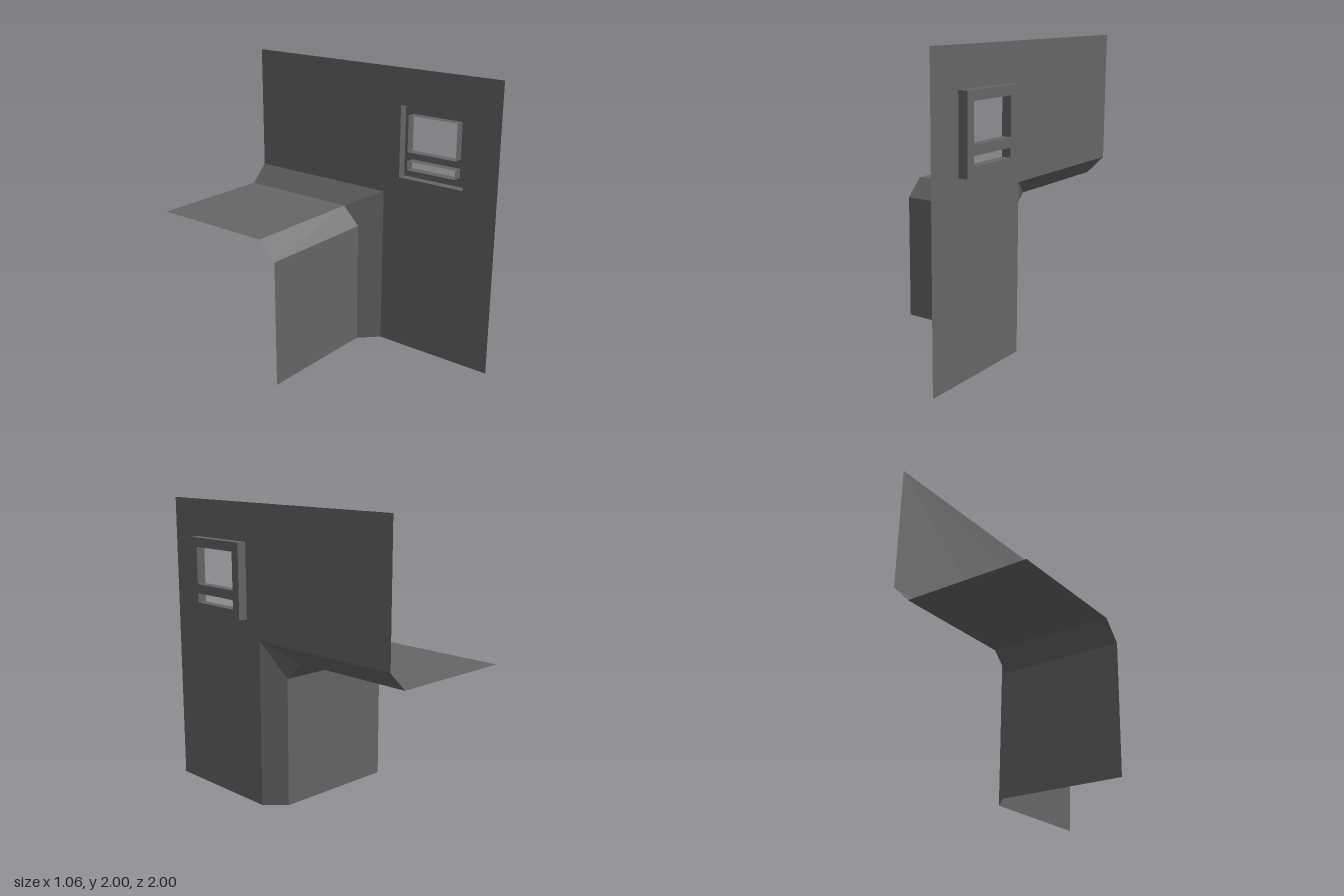
import * as THREE from 'three';

export function createModel() {
  const model = new THREE.Group();
  const grey = new THREE.MeshStandardMaterial({ color: 0x666666, side: THREE.DoubleSide });
  grey.name = 'grey';

  const LEFT = -0.53125, JOINT = 0.34375, WALL = 0.46875, OUT = 0.53125; // x planes
  const C = 0.125; // bevel size

  function add(name, geometry, parent = model) {
    const mesh = new THREE.Mesh(geometry, grey);
    mesh.name = name;
    parent.add(mesh);
    return mesh;
  }

  // Flat convex panel from its corners
  function panel(name, corners, parent) {
    const pos = [];
    for (let i = 1; i < corners.length - 1; i++) {
      pos.push(...corners[0], ...corners[i], ...corners[i + 1]);
    }
    const g = new THREE.BufferGeometry();
    g.setAttribute('position', new THREE.Float32BufferAttribute(pos, 3));
    g.computeVertexNormals();
    return add(name, g, parent);
  }

  // Upright plate facing +x, outlined by [z, y] points, with holes
  function plate(name, x, outline, holes, parent) {
    const points = (list) => list.map(([z, y]) => new THREE.Vector2(-z, y));
    const shape = new THREE.Shape(points(outline));
    for (const h of holes) shape.holes.push(new THREE.Path(points(h)));
    const g = new THREE.ShapeGeometry(shape).rotateY(Math.PI / 2).translate(x, 0, 0);
    return add(name, g, parent);
  }

  const rect = (z0, z1, y0, y1) => [[z1, y0], [z0, y0], [z0, y1], [z1, y1]];

  // Side wall with its window opening
  const frameOuter = rect(0.25, 0.75, 1.25, 1.75);
  plate('sideWall', WALL,
    [[1, 0], [C, 0], [C, 1 + C], [-1, 1 + C], [-1, 2], [1, 2]], [frameOuter]);

  // Front panel, ledge and the bevel between them
  panel('frontPanel', [[LEFT, 0, 0], [LEFT, 1 - C, 0], [JOINT, 1 - C, 0], [JOINT, 0, 0]]);
  panel('ledge', [[LEFT, 1, -1], [JOINT, 1, -1], [JOINT, 1, -C], [LEFT, 1, -C]]);
  panel('ledgeBevel', [[LEFT, 1 - C, 0], [LEFT, 1, -C], [JOINT, 1, -C], [JOINT, 1 - C, 0]]);

  // Bevels joining the side wall, meeting in a corner triangle
  const peak = [WALL, 1 + C, C];
  panel('uprightBevel', [[JOINT, 0, 0], [JOINT, 1 - C, 0], peak, [WALL, 0, C]]);
  panel('wallBevel', [[JOINT, 1, -1], [WALL, 1 + C, -1], peak, [JOINT, 1, -C]]);
  panel('cornerBevel', [[JOINT, 1 - C, 0], [JOINT, 1, -C], peak]);

  // Raised window frame, open at the back
  const frame = new THREE.Group();
  frame.name = 'windowFrame';
  model.add(frame);
  const panes = [rect(0.3125, 0.6875, 1.4375, 1.6875), rect(0.3125, 0.6875, 1.3125, 1.375)];
  plate('frameFace', OUT, frameOuter, panes, frame);
  const loops = [frameOuter, ...panes.map((p) => [...p].reverse())];
  for (const loop of loops) {
    loop.forEach(([z, y], i) => {
      const [z2, y2] = loop[(i + 1) % 4];
      panel('frameSide', [[WALL, y, z], [WALL, y2, z2], [OUT, y2, z2], [OUT, y, z]], frame);
    });
  }

  return model;
}
